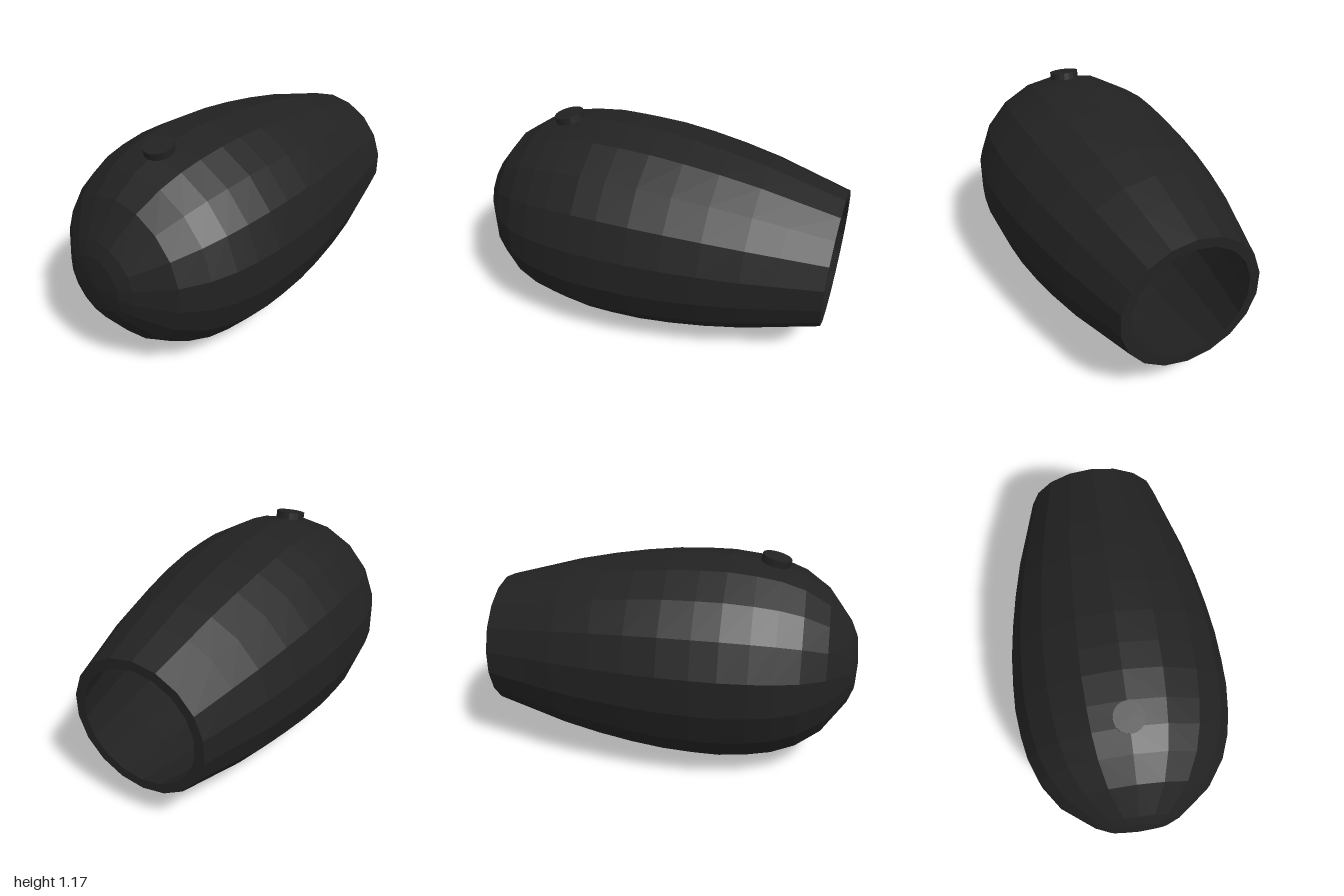
import * as THREE from 'three';

export function createModel() {
  const model = new THREE.Group();
  const black = new THREE.MeshStandardMaterial({ color: 0x222222 });
  black.name = 'matte black';

  const CENTRE_Y = 0.577;

  // Facet a geometry by giving every triangle its own normals
  const facet = (geometry) => {
    const flat = geometry.toNonIndexed();
    flat.computeVertexNormals();
    return flat;
  };

  const add = (name, geometry) => {
    const mesh = new THREE.Mesh(facet(geometry), black);
    mesh.name = name;
    model.add(mesh);
    return mesh;
  };

  // Outer profile as [radius, z], from the open rear to the nose
  const outer = [
    [0.367, -1], [0.43, -0.77], [0.477, -0.6], [0.52, -0.39], [0.55, -0.2],
    [0.57, -0.02], [0.577, 0.15], [0.577, 0.29], [0.56, 0.44], [0.535, 0.565],
    [0.487, 0.69], [0.396, 0.82], [0.225, 0.95], [0.15, 0.983], [0, 1],
  ];

  // Hollow shell: cavity wall from nose to rear, flat rim, then outer skin
  const cavity = outer.map(([r, z]) => [Math.max(r - 0.052, 0), z > 0 ? z * 0.94 : z]).reverse();
  const profile = [...cavity, ...outer].map(([r, z]) => new THREE.Vector2(r, z));
  const shell = new THREE.LatheGeometry(profile, 18);
  shell.rotateX(Math.PI / 2);
  shell.scale(1.02, 1, 1);
  add('shell', shell).position.y = CENTRE_Y;

  // Small round button lying on the sloping top near the nose
  const button = add('button', new THREE.CylinderGeometry(0.08, 0.08, 0.038, 18));
  button.position.set(0, 1.136, 0.525);
  button.rotation.x = 0.235;

  return model;
}
